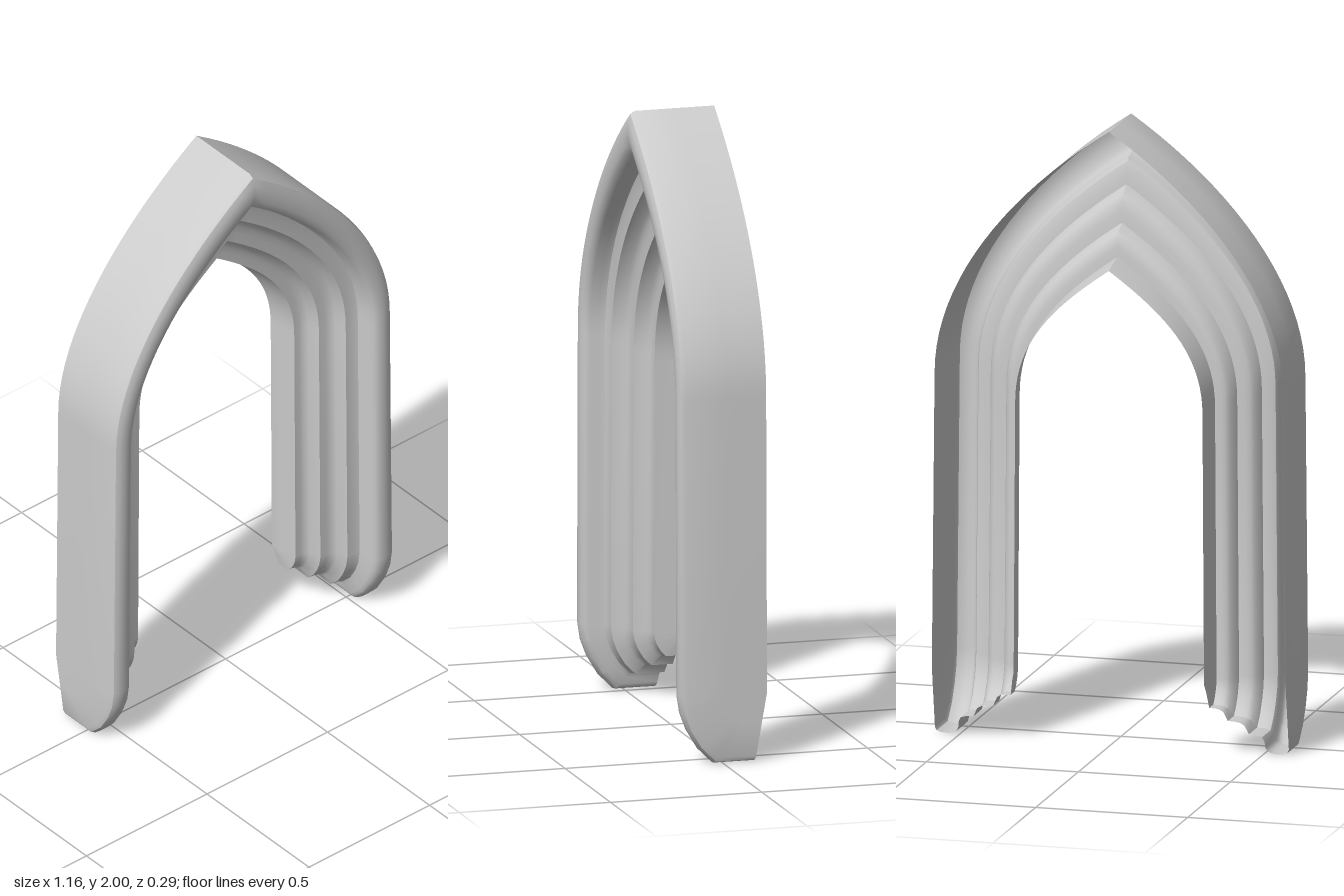
import * as THREE from 'three';
import { toCreasedNormals } from 'three/addons/utils/BufferGeometryUtils.js';

const V = (x, y) => new THREE.Vector2(x, y);
const BACK = -0.143, PIVOT_Y = 0.22;

// Moulding cross-section: [0 = outer .. 1 = inner edge, depth forward of the back]
const PROFILE = [
  [0, 0], [0, 0.13], [0, 0.262], [0.02, 0.277], [0.07, 0.284], [0.14, 0.286], [0.21, 0.283],
  [0.26, 0.275], [0.285, 0.26],
  [0.295, 0.232], [0.32, 0.214], [0.38, 0.207], [0.48, 0.205],
  [0.53, 0.168], [0.58, 0.158], [0.64, 0.154], [0.73, 0.152],
  [0.78, 0.114], [0.83, 0.104], [0.88, 0.101], [0.95, 0.1],
  [0.98, 0.03], [1, 0],
];

// Half outlines of the pointed arch, springing to apex
const OUTER = new THREE.CubicBezierCurve(V(0.573, 1.18), V(0.573, 1.48), V(0.33, 1.78), V(0, 2));
const INNER = new THREE.CubicBezierCurve(V(0.308, 1.1), V(0.308, 1.3), V(0.18, 1.42), V(0, 1.547));

// Stations from the foot of one leg to the apex; each gives the section's 3D points
function halfSections() {
  const rows = [];
  // Foot: the section swings backwards about its rear edge
  for (const [deg, scale] of [[80, 0.785], [52, 0.98], [38, 0.98], [24, 0.98], [12, 0.99], [0, 1]]) {
    const a = THREE.MathUtils.degToRad(deg);
    rows.push(PROFILE.map(([t, d]) => new THREE.Vector3(
      THREE.MathUtils.lerp(0.582, 0.313, t),
      PIVOT_Y - d * scale * Math.sin(a),
      BACK + d * scale * Math.cos(a))));
  }
  // Pointed arch
  const N = 20;
  for (let i = 0; i <= N; i++) {
    const o = OUTER.getPoint(i / N), n = INNER.getPoint(i / N);
    rows.push(PROFILE.map(([t, d]) => {
      const p = o.clone().lerp(n, t);
      return new THREE.Vector3(p.x, p.y, BACK + d);
    }));
  }
  return rows;
}

function archGeometry() {
  const half = halfSections();
  const mirrored = half.slice(0, -1).reverse()
    .map(row => row.map(p => new THREE.Vector3(-p.x, p.y, p.z)));
  const rows = [...half, ...mirrored];
  const w = PROFILE.length, index = [];
  for (let i = 0; i < rows.length - 1; i++) {
    for (let j = 0; j < w - 1; j++) {
      const a = i * w + j, b = a + w;
      index.push(a, b, a + 1, b, b + 1, a + 1);
    }
  }
  const g = new THREE.BufferGeometry().setFromPoints(rows.flat());
  g.setIndex(index);
  return toCreasedNormals(g, THREE.MathUtils.degToRad(36));
}

export function createModel() {
  const group = new THREE.Group();
  group.name = 'pointedArch';
  const material = new THREE.MeshStandardMaterial({ color: 0xcccccc, side: THREE.DoubleSide });
  const arch = new THREE.Mesh(archGeometry(), material);
  arch.name = 'archMoulding';
  group.add(arch);
  return group;
}
